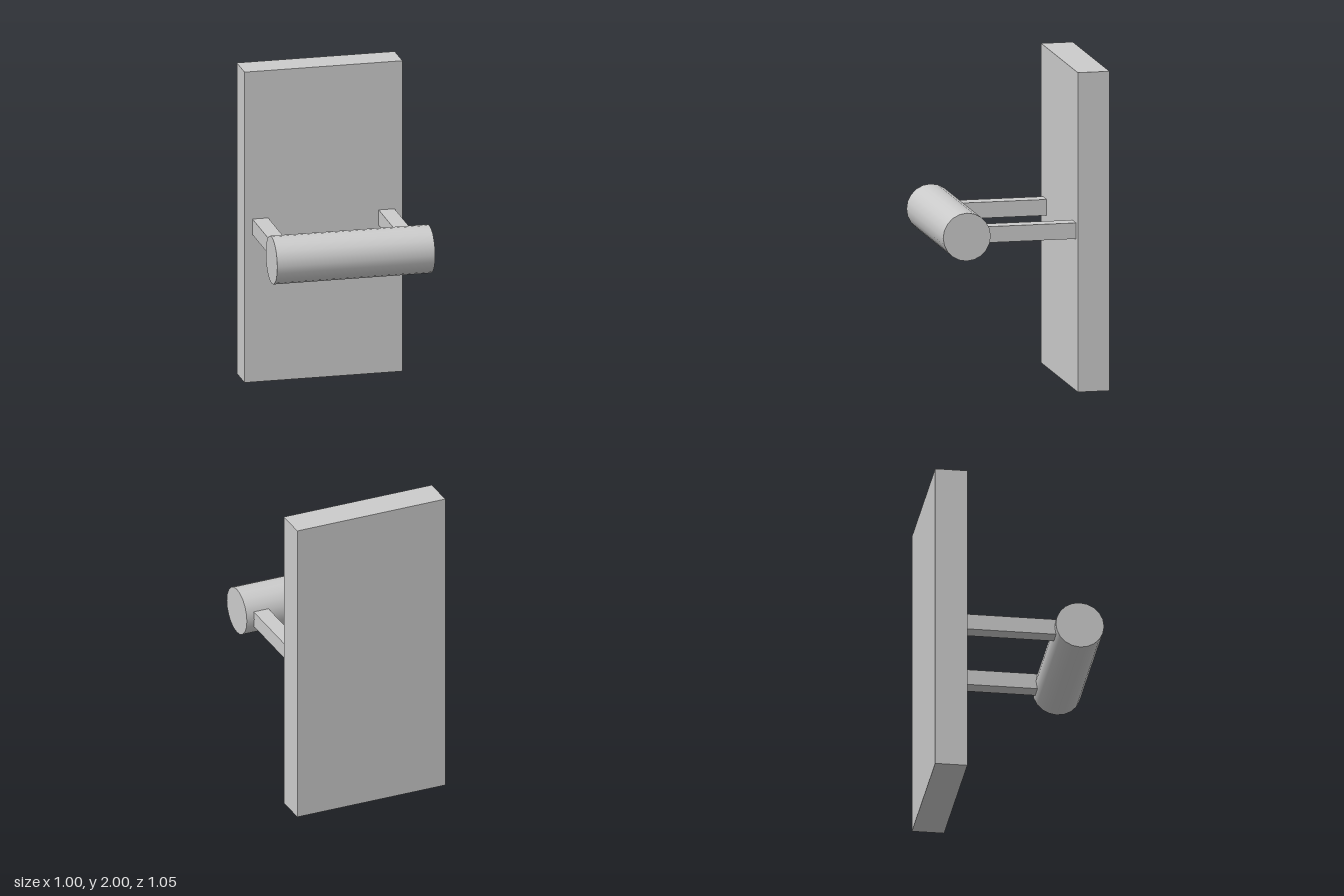
import * as THREE from 'three';

const material = new THREE.MeshStandardMaterial({ color: 0xcccccc });

function addPart(group, name, geometry, x, y, z) {
  const mesh = new THREE.Mesh(geometry, material);
  mesh.name = name;
  mesh.position.set(x, y, z);
  group.add(mesh);
}

export function createModel() {
  const group = new THREE.Group();
  group.name = 'doorWithBarHandle';

  // upright slab at the back
  addPart(group, 'panel', new THREE.BoxGeometry(1, 2, 0.2), 0, 1, -0.425);

  // horizontal round bar in front
  const bar = new THREE.CylinderGeometry(0.15, 0.15, 1, 20).rotateZ(Math.PI / 2);
  addPart(group, 'handleBar', bar, 0, 1, 0.375);

  // mirrored square arms, ending just inside the bar
  const armLength = 0.6;
  for (const [name, side] of [['leftArm', 1], ['rightArm', -1]]) {
    const arm = new THREE.BoxGeometry(0.1, 0.1, armLength);
    addPart(group, name, arm, side * 0.4, 1, -0.325 + armLength / 2);
  }

  return group;
}
